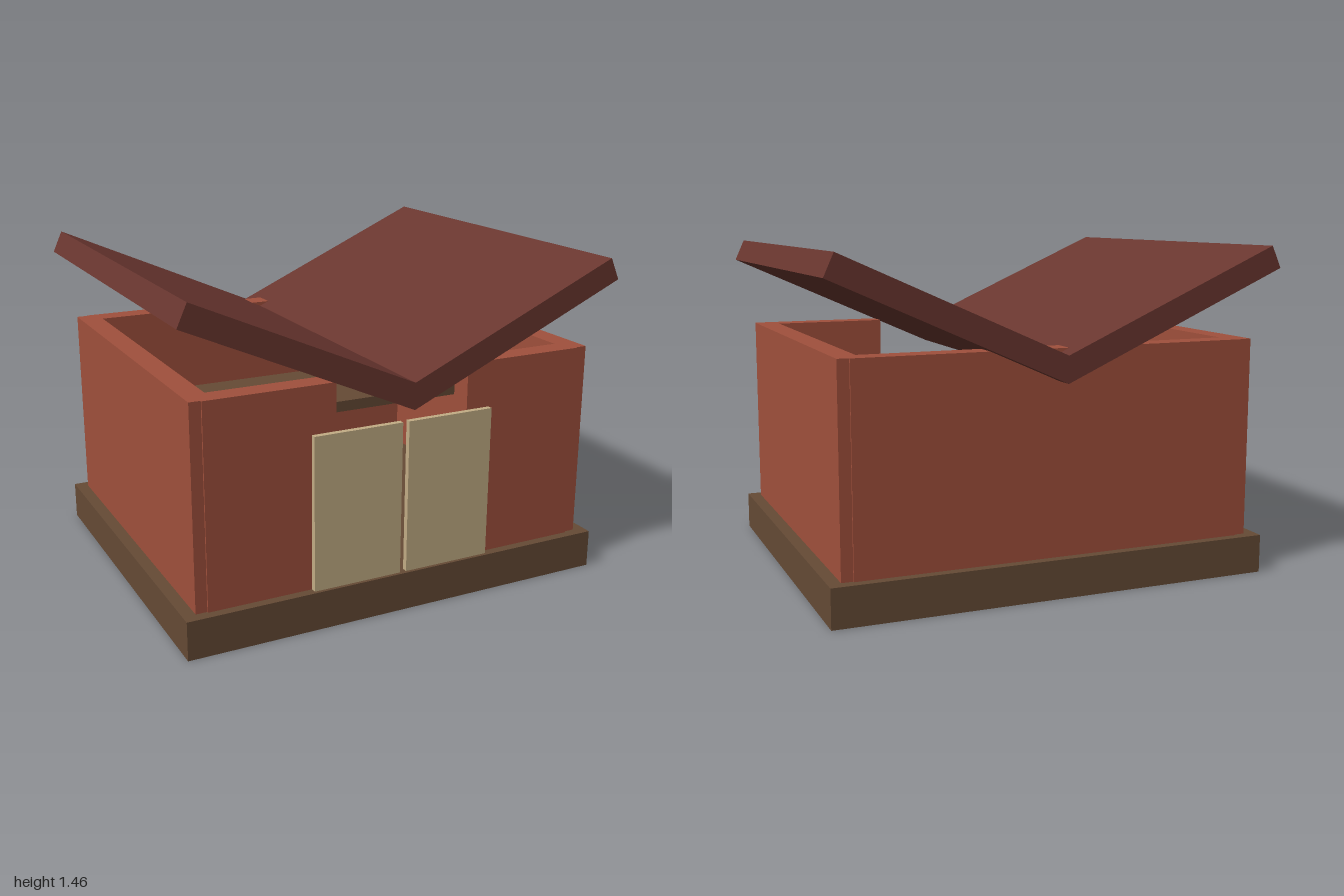
import * as THREE from 'three';

export function createModel() {
  const model = new THREE.Group();
  model.name = 'pavilion';

  const paint = (color) => new THREE.MeshStandardMaterial({ color });
  const brick = paint(0xa0503c);
  const earth = paint(0x654a35);
  const tan = paint(0xc2ad85);
  const tile = paint(0x69362f);

  // Box given by its lower and upper limits on each axis
  function box(name, material, [x0, x1], [y0, y1], [z0, z1]) {
    const mesh = new THREE.Mesh(new THREE.BoxGeometry(x1 - x0, y1 - y0, z1 - z0), material);
    mesh.position.set((x0 + x1) / 2, (y0 + y1) / 2, (z0 + z1) / 2);
    mesh.name = name;
    model.add(mesh);
  }
  // Limits mirrored to the left (+1) or right (-1) side
  const side = (s, a, b) => (s > 0 ? [a, b] : [-b, -a]);

  const floorY = 0.17;
  const wallY = [floorY, 1.05];

  // Plinth, back wall and inner loft shelf
  box('plinth', earth, [-0.985, 0.985], [0, floorY], [-0.82, 0.82]);
  box('backWall', brick, [-0.88, 0.88], wallY, [-0.78, -0.68]);
  box('loftShelf', earth, [-0.83, 0.83], [0.7, 0.75], [-0.37, 0.17]);

  // Paired walls and door leaves
  for (const s of [1, -1]) {
    const label = s > 0 ? 'left' : 'right';
    box(label + 'SideWall', brick, side(s, 0.83, 0.93), wallY, [-0.772, 0.772]);
    box(label + 'FrontWall', brick, side(s, 0.31, 0.88), wallY, [0.68, 0.78]);
    box(label + 'Door', tan, side(s, 0.015, 0.42), [floorY, 0.845], [0.78, 0.805]);
  }

  // Butterfly roof: a V section run from back to front
  const section = new THREE.Shape([
    [0, 0.915], [1, 1.36], [0.957, 1.455], [0, 1.03], [-0.957, 1.455], [-1, 1.36],
  ].map(([x, y]) => new THREE.Vector2(x, y)));
  const roof = new THREE.Mesh(
    new THREE.ExtrudeGeometry(section, { depth: 1.74, bevelEnabled: false }), tile);
  roof.position.z = -0.87;
  roof.name = 'butterflyRoof';
  model.add(roof);

  return model;
}
